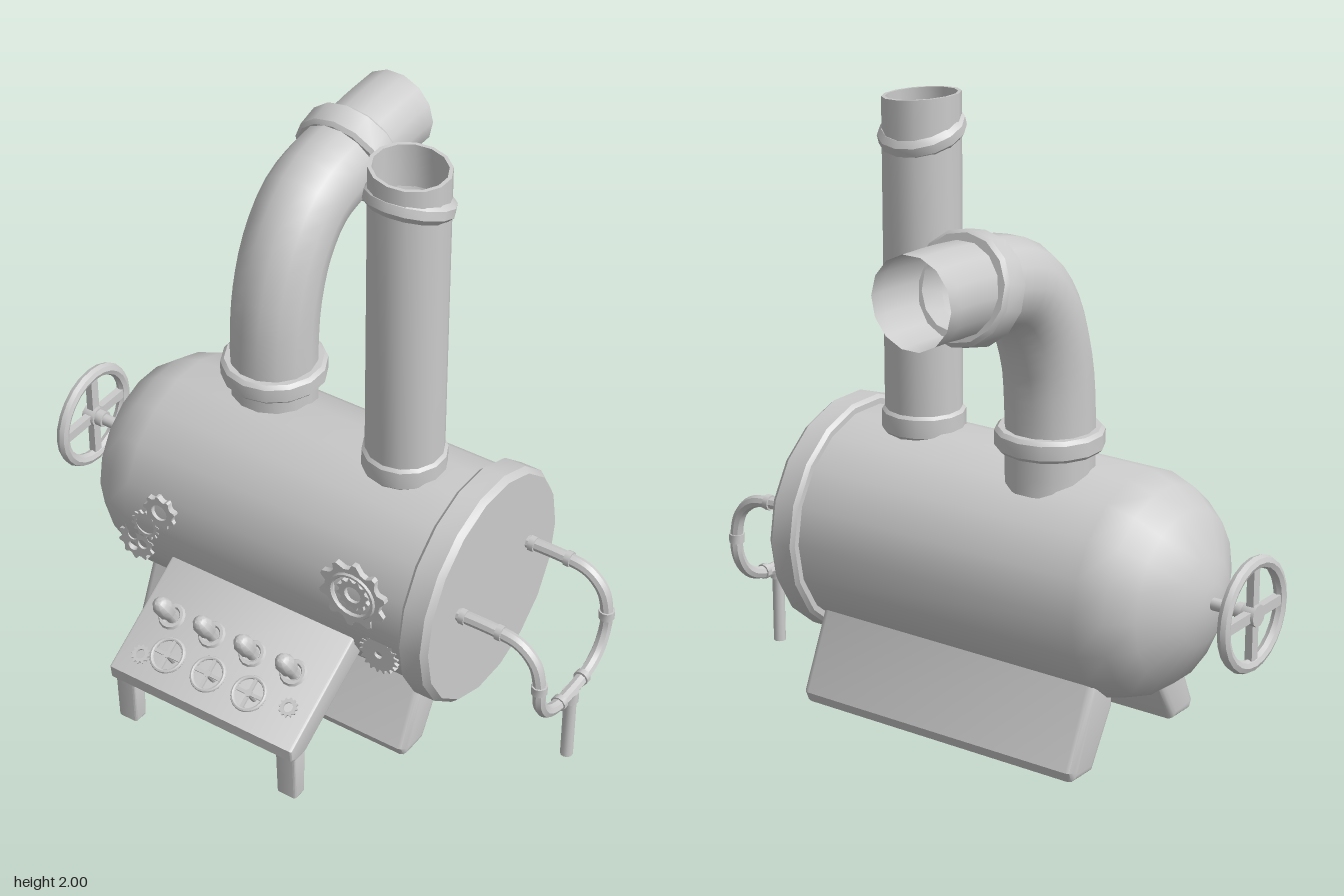
import * as THREE from 'three';
import { toCreasedNormals } from 'three/addons/utils/BufferGeometryUtils.js';

const V = (x, y, z) => new THREE.Vector3(x, y, z);
const CY = 0.555, CZ = 0.04, SLOPE = 0.55; // tank axis, console tilt

export function createModel() {
  const model = new THREE.Group();
  const mat = new THREE.MeshStandardMaterial({ color: 0xcccccc, side: THREE.DoubleSide });

  function add(name, geo, pos = [0, 0, 0], rot = [0, 0, 0], parent = model) {
    const mesh = new THREE.Mesh(toCreasedNormals(geo, 0.65), mat);
    mesh.name = name;
    mesh.position.set(...pos);
    mesh.rotation.set(...rot);
    parent.add(mesh);
    return mesh;
  }
  function group(name, pos, rot) {
    const g = new THREE.Group();
    g.name = name;
    g.position.set(...pos);
    g.rotation.set(...rot);
    model.add(g);
    return g;
  }
  const lathe = (pts, sides) => new THREE.LatheGeometry(pts.map(p => new THREE.Vector2(...p)), sides);
  const cyl = (r, h, sides = 10) => new THREE.CylinderGeometry(r, r, h, sides);
  const tube = (pts, r, segs, sides) =>
    new THREE.TubeGeometry(new THREE.CatmullRomCurve3(pts), segs, r, sides);
  // Clamp band around a pipe: closed ring profile with softened outer edges
  const band = (inner, outer, h, b = 0.012, sides = 14) => lathe([
    [inner, -h / 2], [outer - b, -h / 2], [outer, -h / 2 + b], [outer, h / 2 - b],
    [outer - b, h / 2], [inner, h / 2], [inner, -h / 2]], sides);
  // Side profile in (z, y), extruded between two x positions
  function prism(name, pts, x0, x1, bevel) {
    const geo = new THREE.ExtrudeGeometry(new THREE.Shape(pts.map(p => new THREE.Vector2(...p))), {
      depth: x1 - x0 - 2 * bevel, bevelSize: bevel, bevelThickness: bevel, bevelOffset: -bevel, bevelSegments: 3 });
    return add(name, geo, [x1 - bevel, 0, 0], [0, -Math.PI / 2, 0]);
  }
  // Hand wheel lying in the local xz plane
  function wheel(parent, name, r, t) {
    add(name + 'Rim', new THREE.TorusGeometry(r, t, 8, 24), [0, 0, 0], [Math.PI / 2, 0, 0], parent);
    for (const a of [0, Math.PI / 2])
      add(name + 'Spoke', new THREE.BoxGeometry(2 * r, t * 1.2, t * 1.6), [0, 0, 0], [0, a, 0], parent);
    add(name + 'Hub', cyl(t * 1.7, t * 2.2), [0, 0, 0], [0, 0, 0], parent);
  }
  // Flat cog with trapezoid teeth and round cut-outs
  function cog(r, teeth, holes, depth = 0.02) {
    const shape = new THREE.Shape();
    for (let i = 0; i < teeth * 4; i++) {
      const a = (i + [0, 0.25, 0, -0.25][i % 4]) / (teeth * 4) * Math.PI * 2;
      const rr = i % 4 === 1 || i % 4 === 2 ? r : r * 0.82;
      shape[i ? 'lineTo' : 'moveTo'](rr * Math.cos(a), rr * Math.sin(a));
    }
    for (const [x, y, hr] of holes) {
      const p = new THREE.Path();
      p.absarc(x, y, hr, 0, Math.PI * 2, true);
      shape.holes.push(p);
    }
    return new THREE.ExtrudeGeometry(shape, { depth, bevelEnabled: false, curveSegments: 8 });
  }

  // Tank with domed end, and end cap flange
  const along = [0, 0, -Math.PI / 2];
  add('tank', lathe([[0, -0.803], [0.06, -0.80], [0.14, -0.775], [0.275, -0.70], [0.335, -0.62],
    [0.366, -0.53], [0.366, 0.54]], 18), [0, CY, CZ], along);
  add('endCap', lathe([[0.34, 0.525], [0.385, 0.525], [0.397, 0.537], [0.397, 0.61], [0.38, 0.63], [0, 0.63]], 18),
    [0, CY, CZ], along);

  // Straight chimney with a slanted open mouth
  const stack = lathe([[0.125, 0.88], [0.125, 1.99], [0.113, 1.99], [0.113, 1.7]], 14);
  const sp = stack.attributes.position;
  for (let i = 0; i < sp.count; i++)
    if (sp.getY(i) > 1.9) sp.setY(i, sp.getY(i) - sp.getX(i) * 0.08);
  add('chimney', stack, [0.295, 0, CZ]);
  add('chimneyBase', band(0.12, 0.135, 0.09, 0.015), [0.295, 0.935, CZ]);
  add('chimneyCollar', band(0.115, 0.14, 0.065, 0.018), [0.295, 1.875, CZ], [-0.35, 0, 0]);

  // Bent exhaust pipe
  const ex = -0.25;
  const bend = [[0.85, -0.04], [1.08, -0.04], [1.26, -0.06], [1.42, -0.12], [1.53, -0.22],
    [1.57, -0.34], [1.582, -0.48], [1.593, -0.6], [1.597, -0.733]];
  add('exhaustPipe', tube(bend.map(([y, z]) => V(ex, y, z)), 0.142, 24, 14));
  add('exhaustBase', band(0.13, 0.172, 0.07), [ex, 1.005, -0.04]);
  add('exhaustCollar', band(0.13, 0.174, 0.1), [ex, 1.577, -0.46], [-1.3, 0, 0]);

  // Hand wheel on the domed end
  const big = group('endWheel', [-0.94, CY, CZ], along);
  wheel(big, 'endWheel', 0.165, 0.021);
  add('endWheelShaft', cyl(0.02, 0.2), [0, 0.09, 0], [0, 0, 0], big);
  add('endWheelCollar', cyl(0.028, 0.03), [0, 0.035, 0], [0, 0, 0], big);

  // U-shaped pipe on the end cap, with a drain down to the floor
  const half = [[0.6, 0.597, 1], [0.77, 0.597, 1], [0.85, 0.583, 1], [0.905, 0.53, 1], [0.925, 0.45, 1],
    [0.925, 0.38, 0.98], [0.925, 0.315, 0.8], [0.925, 0.28, 0.5]];
  const arm = s => half.map(([x, y, k]) => V(x, y, CZ + s * k * 0.207));
  add('loopPipe', tube([...arm(1), V(0.925, 0.27, CZ), ...arm(-1).reverse()], 0.021, 80, 8));
  for (const s of [1, -1]) {
    const z = CZ + s * 0.207;
    for (const x of [0.65, 0.78]) add('loopPipeJoint', cyl(0.026, 0.02), [x, 0.597, z], along);
    add('loopPipeJoint', cyl(0.026, 0.03), [0.925, 0.44, z]);
    add('loopPipeJoint', cyl(0.026, 0.02), [0.925, 0.275, CZ + s * 0.07], [Math.PI / 2, 0, 0]);
  }
  add('drainPipe', cyl(0.021, 0.27), [0.925, 0.135, CZ]);
  add('drainJoint', cyl(0.027, 0.04), [0.925, 0.25, CZ]);

  // Long splayed feet, mirrored front to back
  for (const s of [1, -1])
    prism('foot', [[0.27, 0.32], [0.35, 0.05], [0.335, 0.015], [0.23, 0.015], [0.12, 0.2], [0.12, 0.32]]
      .map(([z, y], i) => [0.02 + s * (i === 0 ? 0.23 : z), y]), -0.54, 0.52, 0.025);

  // Sloping control console with two legs
  prism('console', [[0.3, 0.51], [0.735, 0.245], [0.73, 0.2], [0.71, 0.188], [0.655, 0.188], [0.3, 0.4]],
    -0.36, 0.34, 0.008);
  for (const x of [-0.357, 0.262])
    prism('consoleLeg', [[0.712, 0.21], [0.705, 0.015], [0.655, 0.015], [0.65, 0.21]], x, x + 0.075, 0.01);

  // Push levers and small valve wheels on the console
  const face = z => 0.51 - (z - 0.3) * 0.61;
  for (let i = 0; i < 4; i++) {
    const lever = group('lever', [-0.25 + i * 0.156, face(0.54), 0.54], [SLOPE, 0, 0]);
    add('leverRing', new THREE.TorusGeometry(0.036, 0.01, 6, 14), [0, 0.005, 0], [Math.PI / 2, 0, 0], lever);
    add('leverStem', cyl(0.022, 0.07), [0, 0.03, 0], [0, 0, 0], lever);
    add('leverKnob', lathe([[0, 0.045], [0.03, 0.05], [0.032, 0.095], [0.024, 0.12], [0.012, 0.132], [0, 0.134]], 10),
      [0, 0, 0], [0, 0, 0], lever);
  }
  for (let i = 0; i < 3; i++) {
    const valve = group('valve', [-0.17 + i * 0.156, 0.343, 0.675], [SLOPE, 0, 0]);
    wheel(valve, 'valveWheel', 0.054, 0.007);
    add('valveStem', cyl(0.01, 0.08), [0, -0.035, 0], [0, 0, 0], valve);
  }

  // Cogs on the front of the tank: x, y, z, radius, teeth, cut-outs
  const trio = [0, 1, 2].map(i => [0.026 * Math.cos(i * 2.094), 0.026 * Math.sin(i * 2.094), 0.018]);
  const cogs = [
    [0.345, 0.65, 0.39, 0.122, 10, [[0, 0, 0.078]]],
    [0.345, 0.65, 0.386, 0.06, 12, [[0, 0, 0.03]]],
    [0.435, 0.44, 0.375, 0.072, 18, [[0, 0, 0.014]]],
    [-0.39, 0.635, 0.388, 0.062, 9, [[0, 0, 0.03]]],
    [-0.5, 0.455, 0.375, 0.07, 10, trio],
    [-0.45, 0.555, 0.386, 0.055, 14, [[0, 0, 0.035]]],
  ];
  for (const [x, y, z, r, n, holes] of cogs) add('cog', cog(r, n, holes), [x, y, z]);
  add('cogRing', new THREE.TorusGeometry(0.078, 0.008, 6, 20), [0.345, 0.65, 0.41]);

  // Small cogs set into the console face
  for (const [x, z] of [[-0.28, 0.67], [0.26, 0.63]])
    add('consoleCog', cog(0.032, 12, [[0, 0, 0.016]], 0.008), [x, face(z), z], [SLOPE - Math.PI / 2, 0, 0]);

  return model;
}
